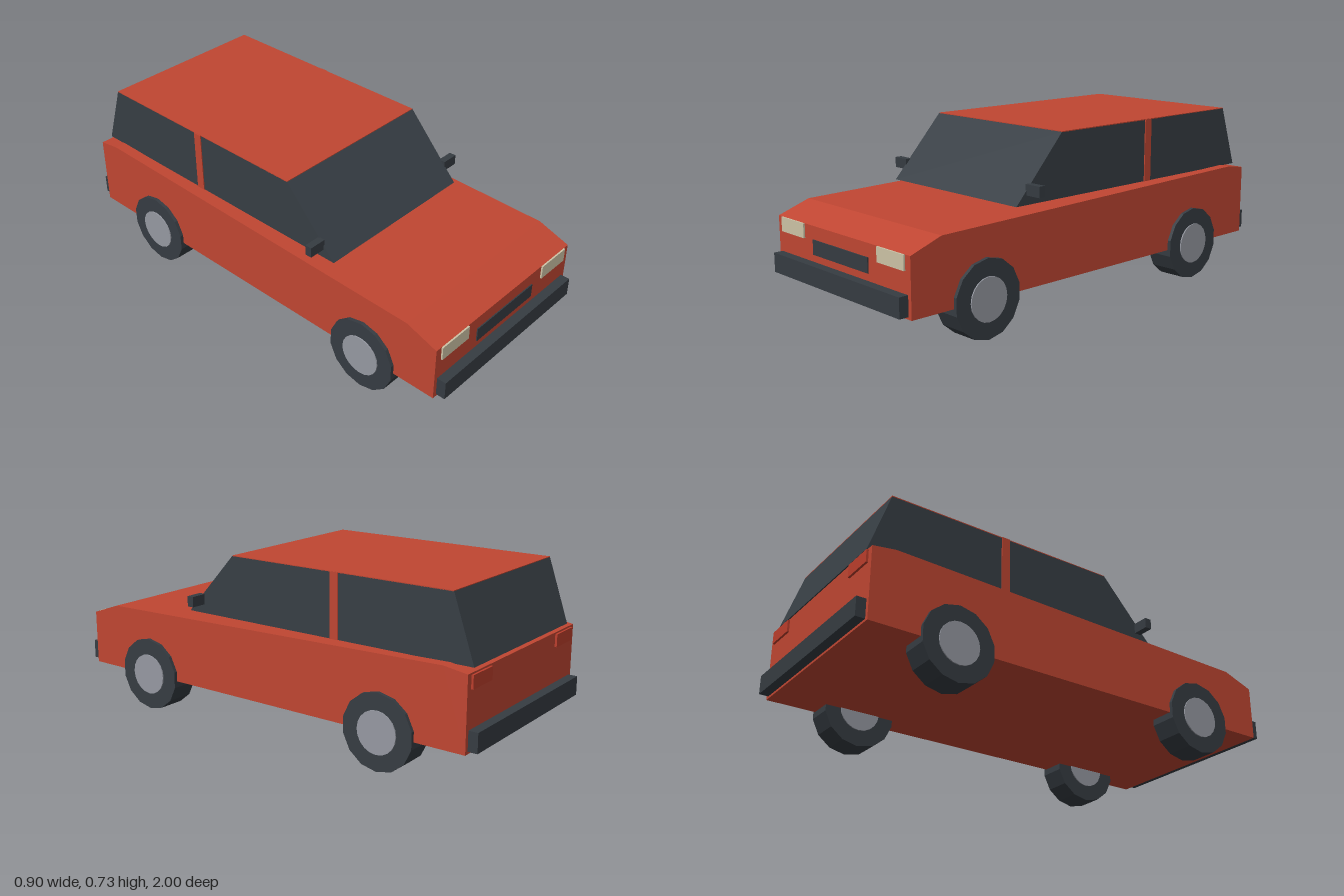
import * as THREE from 'three';

const mat = (name, color) => {
  const m = new THREE.MeshStandardMaterial({ color });
  m.name = name;
  return m;
};

// Extrudes a (z, y) side profile across x, centred.
function sideExtrude(points, halfWidth) {
  const shape = new THREE.Shape(points.map(([z, y]) => new THREE.Vector2(-z, y)));
  const g = new THREE.ExtrudeGeometry(shape, { depth: halfWidth * 2, bevelEnabled: false });
  g.translate(0, 0, -halfWidth);
  g.rotateY(Math.PI / 2);
  return g;
}

export function createModel() {
  const paint = mat('red paint', 0xc04632);
  const glass = mat('dark glass', 0x373e44);
  const trim = mat('dark trim', 0x363c42);
  const hub = mat('hub grey', 0x9699a2);
  const lamp = mat('headlight cream', 0xcdc3a6);
  const tail = mat('tail light red', 0xbc3e2c);

  const car = new THREE.Group();
  car.name = 'car';
  const add = (name, geometry, material, x = 0, y = 0, z = 0) => {
    const mesh = new THREE.Mesh(geometry, material);
    mesh.name = name;
    mesh.position.set(x, y, z);
    car.add(mesh);
    return mesh;
  };
  // Box given by its minimum and maximum on each axis
  const box = (name, material, [x0, x1], [y0, y1], [z0, z1]) =>
    add(name, new THREE.BoxGeometry(x1 - x0, y1 - y0, z1 - z0), material,
      (x0 + x1) / 2, (y0 + y1) / 2, (z0 + z1) / 2);

  // Lower body with sloping nose
  add('body', sideExtrude([
    [0.96, 0.15], [0.96, 0.384], [0.82, 0.433], [-0.86, 0.467], [-0.96, 0.452], [-0.96, 0.15],
  ], 0.43), paint);

  // Glass cabin and painted roof skin
  add('cabinGlass', sideExtrude([
    [0.415, 0.464], [0.172, 0.727], [-0.865, 0.727], [-0.956, 0.464],
  ], 0.38), glass);
  box('roof', paint, [-0.38, 0.38], [0.726, 0.73], [-0.865, 0.17]);

  // Bumpers and grille
  box('frontBumper', trim, [-0.413, 0.413], [0.16, 0.24], [0.955, 1]);
  box('rearBumper', trim, [-0.413, 0.413], [0.16, 0.24], [-1, -0.955]);
  box('grille', trim, [-0.18, 0.18], [0.27, 0.33], [0.957, 0.965]);

  for (const s of [-1, 1]) {
    const side = s > 0 ? 'left' : 'right';
    const span = (a, b) => (s > 0 ? [a, b] : [-b, -a]);
    box(side + 'Headlight', lamp, span(0.24, 0.4), [0.325, 0.384], [0.958, 0.967]);
    box(side + 'TailLight', tail, span(0.265, 0.405), [0.392, 0.445], [-0.969, -0.96]);
    box(side + 'Mirror', trim, span(0.375, 0.45), [0.502, 0.546], [0.332, 0.362]);
    box(side + 'DoorPillar', paint, span(0.376, 0.384), [0.464, 0.729], [-0.362, -0.324]);

    // Tyres and hubs
    for (const [end, z] of [['Front', 0.615], ['Rear', -0.59]]) {
      const tyre = new THREE.CylinderGeometry(0.158, 0.158, 0.118, 14, 1, false, Math.PI / 2);
      const disc = new THREE.CylinderGeometry(0.088, 0.088, 0.128, 20);
      tyre.rotateZ(Math.PI / 2);
      disc.rotateZ(Math.PI / 2);
      const rubber = trim.clone();
      rubber.flatShading = true;
      add(side + end + 'Tyre', tyre.toNonIndexed(), trim, s * 0.386, 0.158, z)
        .geometry.computeVertexNormals();
      add(side + end + 'Hub', disc, hub, s * 0.386, 0.158, z);
    }
  }
  return car;
}
